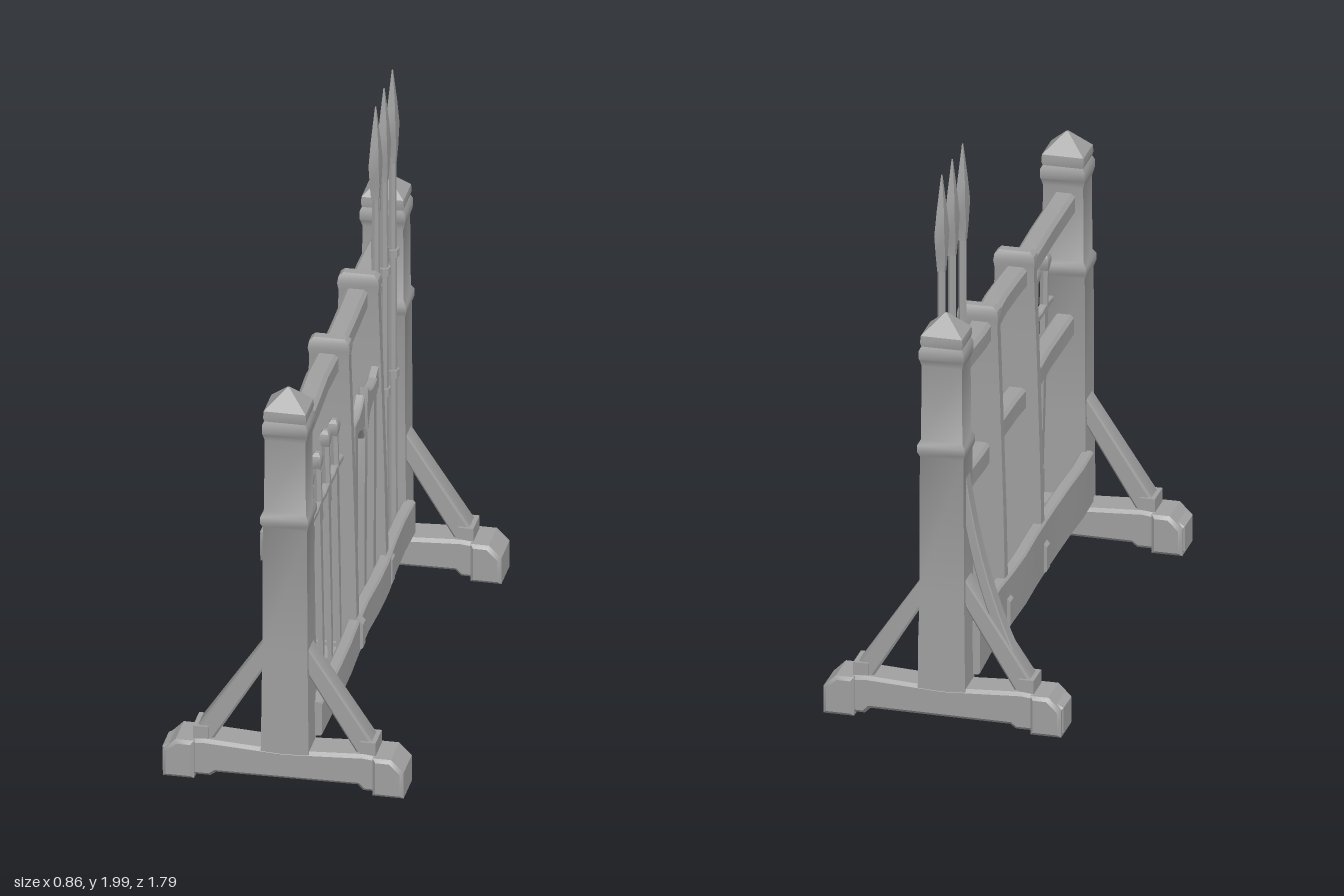
import * as THREE from 'three';
import { toCreasedNormals } from 'three/addons/utils/BufferGeometryUtils.js';

const material = new THREE.MeshStandardMaterial({ color: 0xa0a0a0 });
material.name = 'weathered grey';

function add(parent, name, geometry, x = 0, y = 0, z = 0) {
  const mesh = new THREE.Mesh(toCreasedNormals(geometry, 0.6), material);
  mesh.name = name;
  mesh.position.set(x, y, z);
  parent.add(mesh);
  return mesh;
}

function outline(points) {
  return new THREE.Shape(points.map(([x, y]) => new THREE.Vector2(x, y)));
}

// Plate drawn in x-y and centred on z
function plate(shape, depth, bevel = 0) {
  const g = new THREE.ExtrudeGeometry(shape, {
    depth: depth - 2 * bevel, bevelEnabled: bevel > 0, bevelSize: bevel,
    bevelThickness: bevel, bevelOffset: -bevel, bevelSegments: 1, curveSegments: 8,
  });
  return g.translate(0, 0, -depth / 2 + bevel);
}

// Plate drawn in z-y (first coordinate is z) and centred on x
function sidePlate(points, depth, bevel = 0) {
  return plate(outline(points.map(([z, y]) => [-z, y])), depth, bevel).rotateY(Math.PI / 2);
}

// Hand-hewn beam along z, with chamfered corners and a slight wobble
function beam(w, h, length, wobble = 0.004) {
  const c = Math.min(w, h) * 0.16, a = w / 2, b = h / 2;
  const g = new THREE.ExtrudeGeometry(outline([
    [-a + c, -b], [a - c, -b], [a, -b + c], [a, b - c],
    [a - c, b], [-a + c, b], [-a, b - c], [-a, -b + c],
  ]), { depth: length, steps: 10, bevelEnabled: false });
  g.translate(0, 0, -length / 2);
  const p = g.attributes.position;
  for (let i = 0; i < p.count; i++) {
    const z = p.getZ(i);
    p.setX(i, p.getX(i) + wobble * Math.sin(z * 9 + h * 30));
    p.setY(i, p.getY(i) + wobble * Math.sin(z * 13 + w * 40));
  }
  return g;
}

// Four-sided tapering column from [y, half width x, half width z] sections
function column(sections) {
  const pos = [], index = [];
  const corners = [[1, 1], [1, -1], [-1, -1], [-1, 1]];
  sections.forEach(([y, a, b]) => corners.forEach(([sx, sz]) => pos.push(sx * a, y, sz * b)));
  for (let s = 0; s < sections.length - 1; s++) {
    for (let k = 0; k < 4; k++) {
      const i = s * 4 + k, j = s * 4 + (k + 1) % 4;
      index.push(i, j, j + 4, i, j + 4, i + 4);
    }
  }
  const t = (sections.length - 1) * 4;
  index.push(0, 2, 1, 0, 3, 2, t, t + 1, t + 2, t, t + 2, t + 3);
  const g = new THREE.BufferGeometry();
  g.setAttribute('position', new THREE.Float32BufferAttribute(pos, 3));
  g.setIndex(index);
  return g;
}

function makeEndFrame(z) {
  const g = new THREE.Group();
  g.name = 'endFrame';
  g.position.z = z;
  // Foot with raised underside
  add(g, 'foot', plate(outline([
    [-0.43, 0.01], [-0.26, 0.01], [-0.24, 0.025], [0.26, 0.03], [0.28, 0.01], [0.425, 0.01],
    [0.425, 0.1], [0.375, 0.14], [0.28, 0.15], [0, 0.135], [-0.28, 0.15], [-0.37, 0.14], [-0.43, 0.105],
  ]), 0.13, 0.012));
  [-1, 1].forEach((s) => add(g, 'footEnd', plate(outline([
    [-0.055, 0], [0.055, 0], [0.055, 0.1], [0.01, 0.145], [-0.055, 0.145],
  ].map(([x, y]) => [s * x, y])), 0.16, 0.012), s * 0.37, 0, 0));
  // Post, band, collar and pointed cap
  add(g, 'post', column([
    [0.1, 0.085, 0.064], [0.5, 0.08, 0.06], [1.0, 0.078, 0.06], [1.02, 0.085, 0.072],
    [1.045, 0.085, 0.072], [1.065, 0.074, 0.06], [1.34, 0.072, 0.058], [1.36, 0.078, 0.062],
    [1.37, 0.08, 0.068], [1.4, 0.08, 0.068], [1.42, 0.07, 0.06],
  ]), 0.004);
  add(g, 'postCap', column([
    [1.4, 0.068, 0.058], [1.43, 0.076, 0.066], [1.455, 0.074, 0.064], [1.525, 0.004, 0.004],
  ]), 0.004);
  // Diagonal braces with pegs
  [-1, 1].forEach((s) => {
    const pts = [[0.315, 0.14], [0.31, 0.19], [0.07, 0.55], [0.07, 0.445], [0.255, 0.14]];
    add(g, 'brace', plate(outline(pts.map(([x, y]) => [s * x, y])), 0.085, 0.008));
    add(g, 'bracePeg', new THREE.BoxGeometry(0.055, 0.05, 0.105), s * 0.295, 0.17, 0);
  });
  return g;
}

function makeSword(z, top) {
  const g = new THREE.Group();
  g.name = 'sword';
  g.position.set(0.065, 0, z);
  add(g, 'blade', column([[0.19, 0.007, 0.011], [0.5, 0.009, 0.015], [0.91, 0.01, 0.02]]));
  add(g, 'crossGuard', sidePlate([
    [-0.085, 0.91], [-0.03, 0.913], [0.03, 0.913], [0.085, 0.91],
    [0.085, 0.93], [0.03, 0.938], [-0.03, 0.938], [-0.085, 0.93],
  ], 0.026, 0.004));
  add(g, 'grip', new THREE.CylinderGeometry(0.015, 0.016, top - 0.97, 6), 0, (top + 0.88) / 2, 0);
  add(g, 'pommel', column([
    [top - 0.06, 0.013, 0.014], [top - 0.03, 0.018, 0.025], [top - 0.01, 0.015, 0.02], [top, 0.008, 0.008],
  ]));
  g.rotation.z = 0.02;
  return g;
}

function makeAxe(z, dir, shaftTop) {
  const g = new THREE.Group();
  g.name = 'axe';
  g.position.set(0.065, 0, z);
  add(g, 'axeHaft', column([[0.19, 0.014, 0.018], [0.6, 0.016, 0.02], [shaftTop, 0.016, 0.021]]));
  const pts = [[-0.035, 0.935], [-0.035, 1.0], [0.04, 1.0], [0.09, 1.015], [0.125, 1.04],
    [0.14, 0.96], [0.125, 0.87], [0.085, 0.92], [0.04, 0.935]].map(([u, y]) => [u * dir, y]);
  add(g, 'axeHead', sidePlate(dir > 0 ? pts : pts.slice().reverse(), 0.035, 0.006));
  return g;
}

function makeSpear(z) {
  const g = new THREE.Group();
  g.name = 'spear';
  g.position.set(0.05, 0, z);
  add(g, 'spearShaft', new THREE.CylinderGeometry(0.014, 0.019, 1.49, 7), 0, 0.935, 0);
  add(g, 'spearHead', column([
    [1.63, 0.013, 0.013], [1.69, 0.017, 0.018], [1.77, 0.018, 0.034], [1.86, 0.013, 0.02], [1.99, 0.002, 0.002],
  ]));
  [0.81, 1.28].forEach((y) => add(g, 'spearBinding', new THREE.CylinderGeometry(0.024, 0.024, 0.03, 7), 0, y, 0));
  return g;
}

export function createModel() {
  const model = new THREE.Group();
  model.name = 'weaponRack';

  // End frames, with one long curved brace at the back
  model.add(makeEndFrame(0.815));
  const back = makeEndFrame(-0.815);
  model.add(back);
  const flare = new THREE.Shape();
  flare.moveTo(-0.07, 0.95);
  flare.quadraticCurveTo(-0.13, 0.5, -0.3, 0.17);
  flare.lineTo(-0.26, 0.17);
  flare.quadraticCurveTo(-0.12, 0.45, -0.07, 0.75);
  flare.closePath();
  add(back, 'longBrace', plate(flare, 0.06, 0.004));

  // Rails and trough boards
  add(model, 'upperRail', beam(0.08, 0.08, 1.54), 0, 1.275, 0);
  add(model, 'middleRail', beam(0.07, 0.085, 1.54), 0, 0.818, 0);
  add(model, 'troughFrontBoard', beam(0.045, 0.13, 1.54), 0.095, 0.22, 0);
  add(model, 'troughBackBoard', beam(0.045, 0.195, 1.54), -0.08, 0.255, 0);
  for (let i = 0; i < 13; i++) {
    add(model, 'troughSlat', new THREE.BoxGeometry(0.16, 0.025, 0.09), 0.01, 0.18, -0.69 + i * 0.115);
  }

  // Dividers with clasps at the base and top
  [0.125, -0.365].forEach((z) => {
    add(model, 'divider', column([
      [0.17, 0.1, 0.021], [0.6, 0.092, 0.021], [1.0, 0.08, 0.02], [1.3, 0.07, 0.02],
      [1.33, 0.074, 0.026], [1.355, 0.07, 0.024], [1.37, 0.055, 0.016],
    ]), 0.005, 0, z);
    add(model, 'dividerClasp', beam(0.238, 0.13, 0.042, 0), 0.007, 0.222, z);
  });

  // Weapons leaning on the rails
  [[0.66, 1.125], [0.52, 1.125], [0.38, 1.14], [0.24, 1.11]].forEach(([z, top]) => model.add(makeSword(z, top)));
  model.add(makeAxe(0.042, -1, 0.98));
  model.add(makeAxe(-0.265, 1, 0.96));
  add(model, 'axeBackSpike', sidePlate([
    [-0.28, 0.94], [-0.28, 0.995], [-0.34, 1.02], [-0.345, 0.94],
  ].reverse(), 0.025), 0.065, 0, 0);
  add(model, 'club', column([
    [0.19, 0.014, 0.018], [0.6, 0.016, 0.02], [0.87, 0.018, 0.022], [0.895, 0.012, 0.014],
  ]), 0.065, 0, -0.11);
  [-0.42, -0.56, -0.7].forEach((z) => model.add(makeSpear(z)));

  return model;
}
